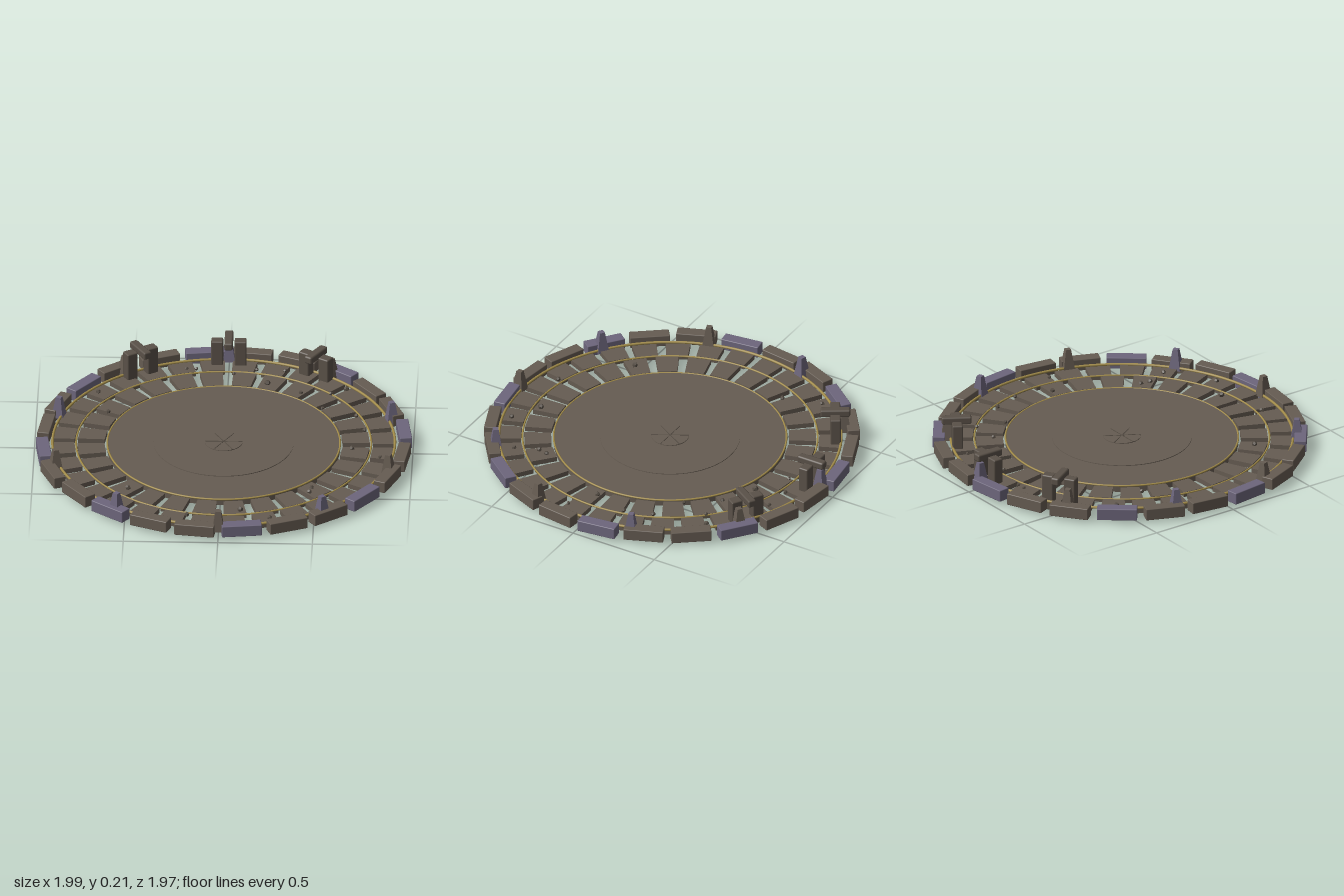
import * as THREE from 'three';
import { RoundedBoxGeometry } from 'three/addons/geometries/RoundedBoxGeometry.js';

const paint = (name, color) => {
  const m = new THREE.MeshStandardMaterial({ color });
  m.name = name;
  return m;
};

export function createModel() {
  const model = new THREE.Group();
  model.name = 'stoneCircle';
  const stone = paint('brown stone', 0x665c52);
  const weathered = paint('weathered stone', 0x5a5148);
  const violet = paint('violet stone', 0x6d667c);
  const gold = paint('old gold', 0xa08a48);
  const rubble = paint('dark rubble', 0x564e45);
  rubble.flatShading = true;

  let seed = 7;
  const rand = () => (seed = (seed * 16807) % 2147483647) / 2147483647;
  const deg = Math.PI / 180;

  const add = (parent, name, geo, mat, x = 0, y = 0, z = 0) => {
    const mesh = new THREE.Mesh(geo, mat);
    mesh.name = name;
    mesh.position.set(x, y, z);
    parent.add(mesh);
    return mesh;
  };
  // Places an object on the circle with its local x pointing outward
  const onCircle = (obj, r, angle, y) => {
    obj.position.set(r * Math.cos(angle), y, -r * Math.sin(angle));
    obj.rotation.y = angle;
    return obj;
  };

  // Central floor with shallow concentric steps
  add(model, 'floorDisc', new THREE.CylinderGeometry(0.615, 0.615, 0.037, 64), stone, 0, 0.0315, 0);
  add(model, 'floorStep', new THREE.CylinderGeometry(0.37, 0.37, 0.004, 64), stone, 0, 0.052, 0);
  add(model, 'centreStep', new THREE.CylinderGeometry(0.1, 0.1, 0.004, 32), stone, 0, 0.056, 0);
  for (let i = 0; i < 3; i++) {
    const spoke = add(model, 'centreSpoke', new THREE.BoxGeometry(0.2, 0.003, 0.004), rubble, 0, 0.0585, 0);
    spoke.rotation.y = i * 60 * deg;
  }

  // Slim metal rings between the paving bands
  for (const [r, y, tube] of [[0.615, 0.048, 0.005], [0.78, 0.046, 0.005], [0.905, 0.052, 0.007]]) {
    const ring = new THREE.TorusGeometry(r, tube, 12, 128);
    ring.rotateX(Math.PI / 2);
    add(model, 'metalRing', ring, gold, 0, y, 0);
  }

  // Tapered paving stones in two bands
  const paving = (name, count, r0, r1, fill) => {
    const half = (Math.PI / count) * fill;
    const a = r0 * Math.tan(half), b = r1 * Math.tan(half);
    const shape = new THREE.Shape([[r0, -a], [r1, -b], [r1, b], [r0, a]].map(p => new THREE.Vector2(...p)));
    const geo = new THREE.ExtrudeGeometry(shape, { depth: 0.027, bevelEnabled: false });
    geo.rotateX(-Math.PI / 2);
    for (let i = 0; i < count; i++) {
      const tile = add(model, name, geo, stone, 0, 0.018 + rand() * 0.005, 0);
      tile.rotation.y = (i + 0.5) * 2 * Math.PI / count + (rand() - 0.5) * 0.012;
    }
  };
  paving('innerPaver', 28, 0.628, 0.77, 0.71);
  paving('outerPaver', 32, 0.787, 0.9, 0.74);

  // Kerb of loosely laid blocks, every third one violet
  const kerbRadii = [0.958, 0.948, 0.948, 0.965, 0.965, 0.953, 0.957, 0.96, 0.966, 0.955, 0.96, 0.95,
    0.955, 0.965, 0.945, 0.945, 0.94, 0.943, 0.938, 0.947, 0.943, 0.947, 0.95, 0.954];
  const kerbGeo = new RoundedBoxGeometry(0.065, 0.064, 0.212, 1, 0.004);
  kerbRadii.forEach((r, i) => {
    const block = add(model, 'kerbBlock', kerbGeo, i % 3 ? stone : violet);
    onCircle(block, r, (7.5 + 15 * i) * deg, 0.051 + (rand() - 0.5) * 0.004);
  });

  // Ten four-sided markers in alternating stone
  const markerGeo = new THREE.CylinderGeometry(0.02, 0.045, 0.115, 4).toNonIndexed();
  markerGeo.rotateY(Math.PI / 4);
  markerGeo.computeVertexNormals();
  for (let i = 0; i < 10; i++) {
    const marker = add(model, 'marker', markerGeo, i % 2 ? stone : violet);
    onCircle(marker, 0.925, (18 + 36 * i) * deg, 0.0955);
  }

  // Three gateways at the back: two posts and a lintel pointing outward
  const gateways = [[90, 0.873, 0.02, 0.188, 0.205], [122, 0.873, 0, 0.197, 0.213], [58, 0.876, 0.01, 0.18, 0.198]];
  for (const [angle, r, bottom, postTop, top] of gateways) {
    const gate = new THREE.Group();
    gate.name = 'gateway';
    const h = postTop - bottom;
    for (const side of [-1, 1])
      add(gate, 'gatePost', new RoundedBoxGeometry(0.055, h, 0.063, 1, 0.007), weathered, 0, bottom + h / 2, side * 0.062);
    add(gate, 'gateLintel', new RoundedBoxGeometry(0.158, 0.042, 0.045, 1, 0.009), weathered, 0, top - 0.021, 0);
    model.add(onCircle(gate, r, angle * deg, 0));
  }

  // Loose rubble on the paving: x, z, size
  const pebbles = [[0.21, -0.65, 0.017], [0.39, -0.555, 0.012], [0.63, -0.6, 0.015], [0.68, 0.04, 0.014],
    [0.51, -0.39, 0.01], [-0.49, 0.51, 0.015], [0.11, 0.73, 0.016], [0.48, 0.475, 0.013], [0.47, 0.525, 0.014],
    [0.52, 0.65, 0.013], [0.27, 0.815, 0.014], [-0.17, 0.79, 0.013], [0.83, 0.13, 0.01], [-0.68, -0.53, 0.013],
    [-0.62, -0.32, 0.012], [0.03, -0.75, 0.01], [-0.17, -0.8, 0.01], [0.15, -0.8, 0.01], [0.3, -0.79, 0.011],
    [0.74, -0.16, 0.011], [0.69, -0.31, 0.012], [0.55, -0.55, 0.011], [-0.22, -0.8, 0.01]];
  for (const [x, z, size] of pebbles) {
    const pebble = add(model, 'pebble', new THREE.DodecahedronGeometry(size), rubble, x, 0.046 + size * 0.5, z);
    pebble.rotation.set(rand() * 3, rand() * 3, 0);
  }
  return model;
}
